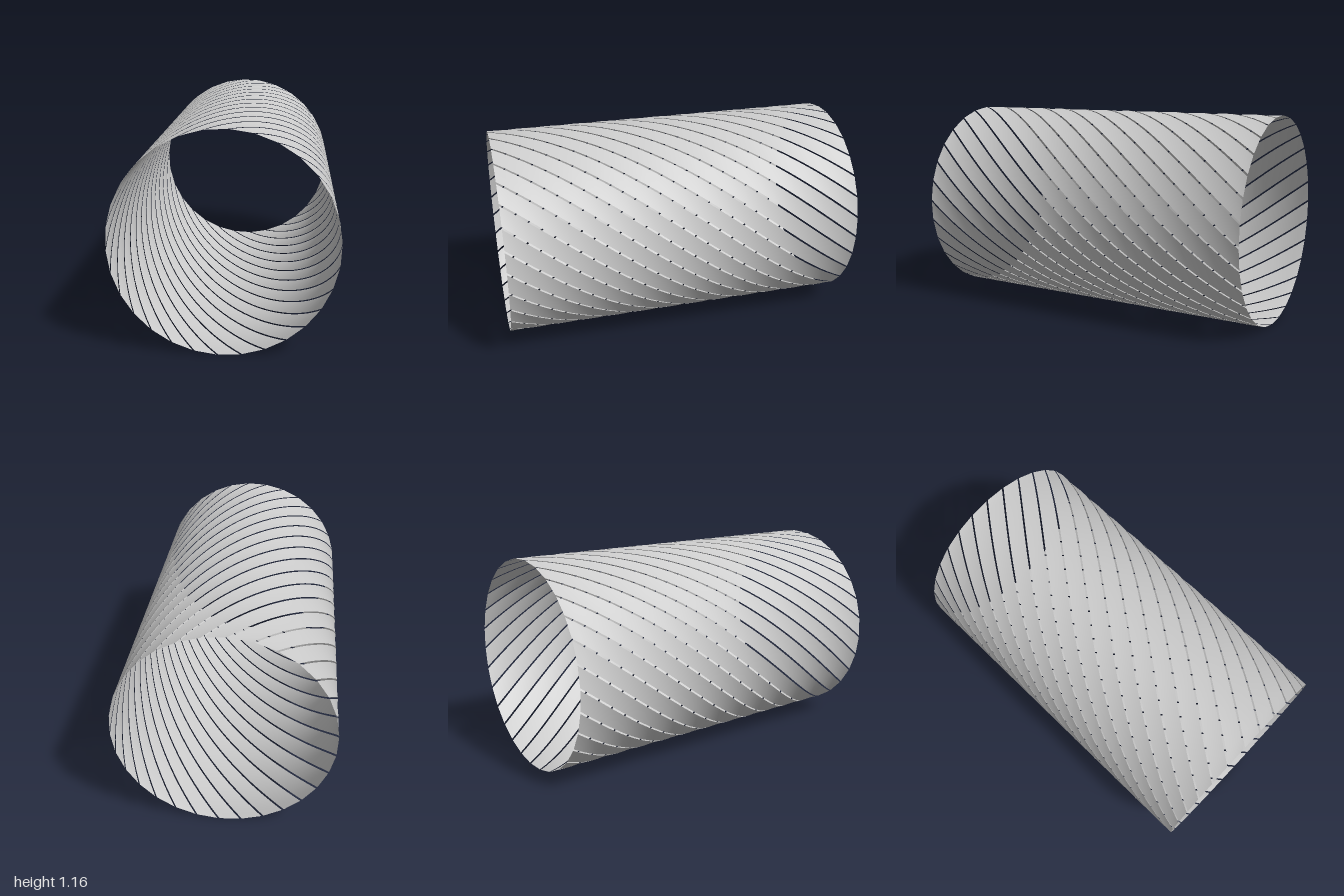
import * as THREE from 'three';

const RADIUS = 0.58, LENGTH = 2, STRIPS = 30;
const TWIST = THREE.MathUtils.degToRad(150); // turn of each strip from back to front
const FILL = 0.9;                            // share of the pitch covered by a strip

// One thin strip winding round the z axis, its edges parallel helices
function helicalStrip() {
  const width = (Math.PI * 2 / STRIPS) * FILL;
  const geometry = new THREE.PlaneGeometry(1, LENGTH, 1, 36);
  const pos = geometry.attributes.position;
  for (let i = 0; i < pos.count; i++) {
    const z = -pos.getY(i);
    const angle = Math.PI / 2 - pos.getX(i) * width + TWIST * z / LENGTH;
    pos.setXYZ(i, RADIUS * Math.cos(angle), RADIUS * Math.sin(angle), z);
  }
  geometry.computeVertexNormals();
  return geometry;
}

export function createModel() {
  const model = new THREE.Group();
  model.name = 'slottedTube';
  const material = new THREE.MeshStandardMaterial({ color: 0xcccccc, side: THREE.DoubleSide });
  const geometry = helicalStrip();

  // Identical strips around the tube, separated by narrow slots
  for (let i = 0; i < STRIPS; i++) {
    const strip = new THREE.Mesh(geometry, material);
    strip.name = `helicalStrip${i + 1}`;
    strip.position.y = RADIUS;
    strip.rotation.z = (i / STRIPS) * Math.PI * 2;
    model.add(strip);
  }
  return model;
}
